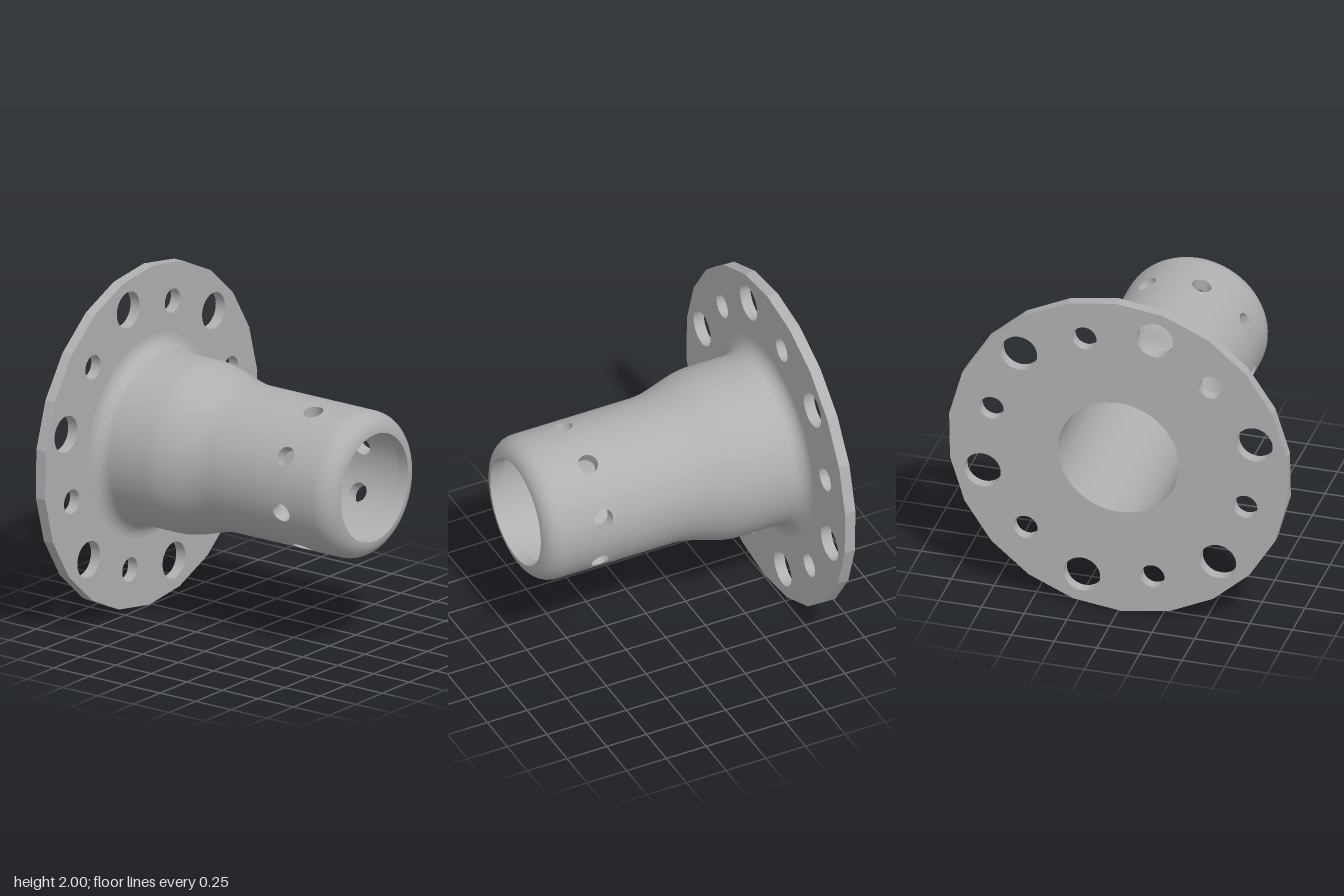
import * as THREE from 'three';
import { mergeGeometries, toCreasedNormals } from 'three/addons/utils/BufferGeometryUtils.js';

const RAD = Math.PI / 180;
const BORE = 0.355, TUBE = 0.425, NECK = 0.5, LIP = 0.315;
const BACK = -0.82, FACE = -0.755, FRONT = 0.82;
const HOLE_Z = 0.47, HOLE_R = 0.057, BAND = 0.167; // row of radial holes
const SEAM = -7.5 * RAD; // where the sectors of the pierced band begin

// Revolve [radius, z] points around the z axis.
function revolve(points) {
  const geo = new THREE.LatheGeometry(points.map(([r, z]) => new THREE.Vector2(r, z)), 64);
  geo.deleteAttribute('uv');
  geo.rotateX(Math.PI / 2);
  geo.rotateZ(SEAM);
  return toCreasedNormals(geo, 0.6);
}

// Points on an elliptical arc in the profile plane.
function arc(cr, cz, rr, rz, from, to, steps = 8) {
  return Array.from({ length: steps + 1 }, (_, i) => {
    const a = (from + (to - from) * i / steps) * RAD;
    return [cr + rr * Math.cos(a), cz + rz * Math.sin(a)];
  });
}

// Round plate with 22 flat sides, a bore and two sets of bolt holes.
function flangeGeometry() {
  const outline = Array.from({ length: 22 }, (_, i) => {
    const a = 89 * RAD + i * Math.PI / 11;
    return new THREE.Vector2(Math.cos(a), Math.sin(a));
  });
  const shape = new THREE.Shape(outline);
  const addHole = (x, y, r, start = 0) =>
    shape.holes.push(new THREE.Path().absarc(x, y, r, start, start + Math.PI * 2, false));
  addHole(0, 0, BORE, SEAM);
  for (let i = 0; i < 6; i++) {
    const big = (45 + 60 * i) * RAD, small = (15 + 60 * i) * RAD;
    addHole(0.825 * Math.cos(big), 0.825 * Math.sin(big), 0.107);
    addHole(0.77 * Math.cos(small), 0.77 * Math.sin(small), 0.071);
  }
  const geo = new THREE.ExtrudeGeometry(shape, { depth: FACE - BACK, bevelEnabled: false, curveSegments: 32 });
  geo.translate(0, 0, BACK);
  return toCreasedNormals(geo, 0.25);
}

// One 45 degree sector of the tube wall with a drilled hole:
// inner skin, hole wall and outer skin are one run of rings.
function piercedSector(centre) {
  const side = 8, count = side * 4, half = 22.5 * RAD;
  const rings = [];
  for (const t of [1, 0.66, 0.33, 0]) rings.push([BORE, t]);
  for (const t of [0, 0.33, 0.66, 1]) rings.push([TUBE, t]);
  const positions = [], index = [];
  rings.forEach(([radius, t], k) => {
    for (let j = 0; j < count; j++) {
      // walk round the unit square
      const s = 2 * (j % side) / side - 1;
      const [u, v] = [[1, s], [-s, 1], [-1, -s], [s, -1]][Math.floor(j / side)];
      const a = Math.atan2(v, u);
      const holeTheta = Math.asin(HOLE_R * Math.cos(a) / radius);
      const theta = centre + THREE.MathUtils.lerp(holeTheta, u * half, t);
      const z = HOLE_Z + THREE.MathUtils.lerp(HOLE_R * Math.sin(a), v * BAND, t);
      positions.push(radius * Math.cos(theta), radius * Math.sin(theta), z);
      if (k < rings.length - 1) {
        const p = k * count + j, q = k * count + (j + 1) % count;
        index.push(p, p + count, q + count, p, q + count, q);
      }
    }
  });
  const geo = new THREE.BufferGeometry();
  geo.setAttribute('position', new THREE.Float32BufferAttribute(positions, 3));
  geo.setIndex(index);
  return geo;
}

export function createModel() {
  const steel = new THREE.MeshStandardMaterial({ color: 0xb0b0b0 });
  steel.name = 'grey steel';
  const model = new THREE.Group();
  model.name = 'flangedTube';
  const add = (name, geo) => {
    const mesh = new THREE.Mesh(geo, steel);
    mesh.name = name;
    mesh.position.y = 1;
    model.add(mesh);
  };

  add('flange', flangeGeometry());

  // Outer skin: root fillet, wide neck, S-shaped taper, tube
  const taper = Array.from({ length: 13 }, (_, i) => {
    const t = i / 12;
    return [THREE.MathUtils.lerp(NECK, TUBE, t * t * (3 - 2 * t)), -0.42 + 0.38 * t];
  });
  add('neckAndTube', revolve([
    ...arc(NECK + 0.09, FACE + 0.08, 0.09, 0.08, 270, 180),
    ...taper,
    [TUBE, 0.13], [TUBE, HOLE_Z - BAND],
  ]));
  add('bore', revolve([[BORE, HOLE_Z - BAND], [BORE, -0.2], [BORE, FACE]]));

  // Band with eight radial holes
  const sectors = Array.from({ length: 8 }, (_, i) => piercedSector((15 + 45 * i) * RAD));
  add('piercedBand', toCreasedNormals(mergeGeometries(sectors), 0.6));

  // Rounded front end with an inner lip
  add('nose', revolve([
    [TUBE, HOLE_Z + BAND],
    ...arc(TUBE - 0.11, FRONT - 0.12, 0.11, 0.12, 0, 90),
    [LIP, FRONT - 0.075], [BORE, FRONT - 0.075], [BORE, HOLE_Z + BAND],
  ]));
  return model;
}
